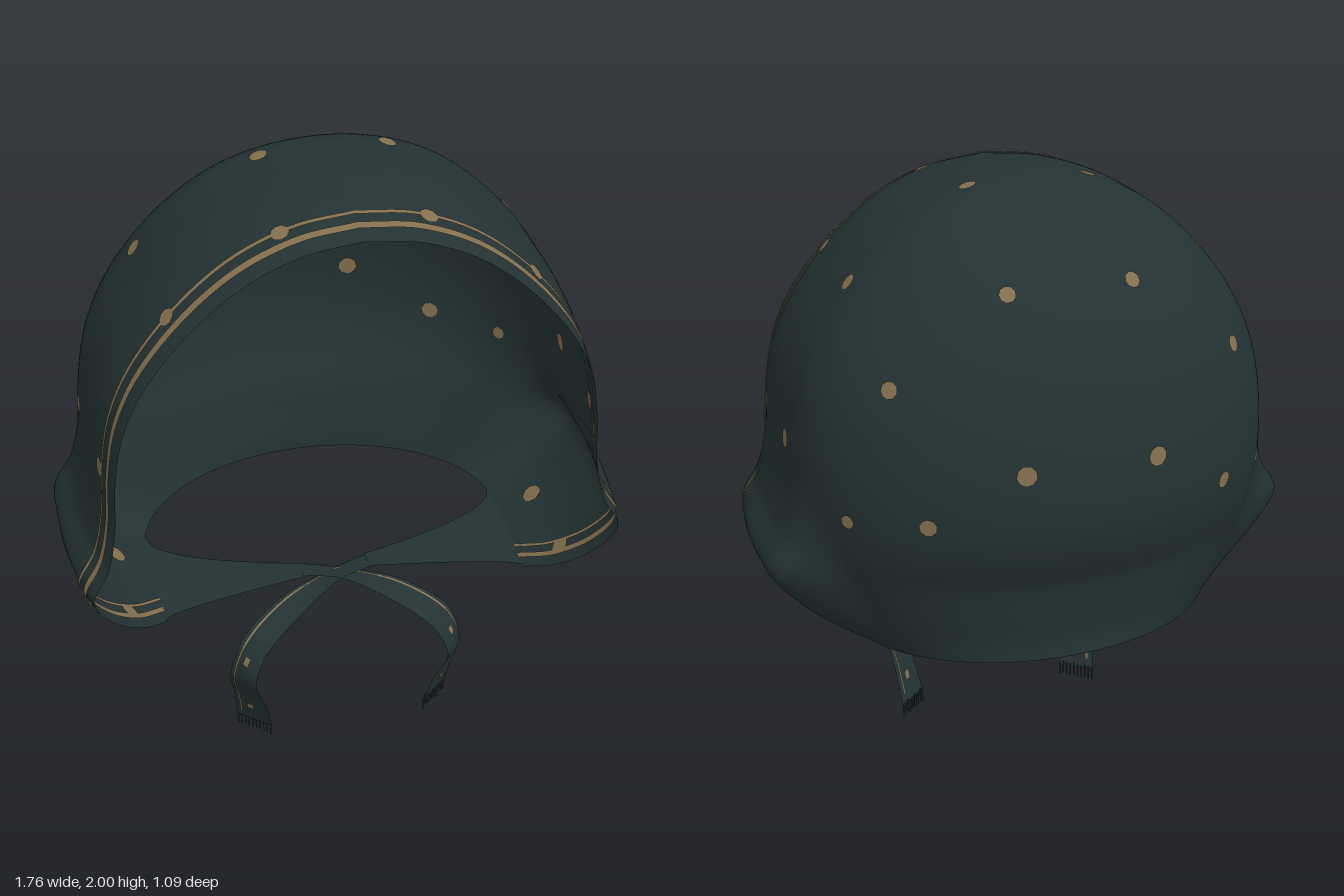
import * as THREE from 'three';
import { mergeVertices } from 'three/addons/utils/BufferGeometryUtils.js';

const V = (x, y, z) => new THREE.Vector3(x, y, z);
const smooth = THREE.MathUtils.smoothstep;

// Smooth grid surface from fn(u, v), u and v in 0..1
function sheet(nu, nv, fn) {
  const pos = [], idx = [];
  for (let j = 0; j <= nv; j++) for (let i = 0; i <= nu; i++) {
    const p = fn(i / nu, j / nv);
    pos.push(p.x, p.y, p.z);
    if (i < nu && j < nv) {
      const a = j * (nu + 1) + i, b = a + nu + 1;
      idx.push(a, a + 1, b, a + 1, b + 1, b);
    }
  }
  let g = new THREE.BufferGeometry();
  g.setAttribute('position', new THREE.Float32BufferAttribute(pos, 3));
  g.setIndex(idx);
  g = mergeVertices(g, 1e-4);
  g.computeVertexNormals();
  return g;
}

// Profile rows: side half-width, height, back depth, half-width behind the flare, front z
const rows = [
  [0.60, 0.57, 0.44, 0.60, 0.36], [0.70, 0.63, 0.44, 0.64, 0.44],
  [0.81, 0.73, 0.455, 0.69, 0.51], [0.88, 0.84, 0.475, 0.74, 0.54],
  [0.82, 0.95, 0.52, 0.765, 0.53], [0.785, 1.08, 0.55, 0.775, 0.515],
  [0.77, 1.25, 0.548, 0.77, 0.51], [0.735, 1.43, 0.515, 0.735, 0.51],
  [0.655, 1.6, 0.45, 0.655, 0.505], [0.52, 1.77, 0.34, 0.52, 0.50],
  [0.36, 1.9, 0.21, 0.36, 0.495], [0.18, 1.975, 0.09, 0.18, 0.49], [0, 2.0, 0, 0, 0.49],
];
const sideCurve = new THREE.CatmullRomCurve3(rows.map(r => V(r[0], r[1], r[2])), false, 'catmullrom', 0.5);
const backCurve = new THREE.CatmullRomCurve3(rows.map(r => V(r[3], r[1], r[4])), false, 'catmullrom', 0.5);

// Fabric point on the side wall at a given depth z in front of the widest section
function wall(p, z, side) {
  const k = Math.max(0, z - 0.12) / 0.38;
  return V(side * p.x * (1 - 0.055 * k * k), p.y - 0.065 * k * k * smooth(p.y, 1.2, 2), z);
}

// u runs from one front edge around the back to the other; v from the hem to the crown
function hoodPoint(u, v) {
  const p = sideCurve.getPoint(v), q = backCurve.getPoint(v);
  const side = u < 0.5 ? 1 : -1, t = 1 - Math.abs(2 * u - 1);
  if (t <= 0.35) return wall(p, q.z * (1 - t / 0.35), side);
  const a = (t - 0.35) / 0.65 * Math.PI / 2;
  const z = -p.z * Math.sin(a);
  const w = THREE.MathUtils.lerp(p.x, q.x, smooth(-z, 0.06, 0.24));
  return V(side * w * Math.cos(a), p.y, z);
}

export function createModel() {
  const group = new THREE.Group();
  const cloth = new THREE.MeshStandardMaterial({ color: 0x243233, side: THREE.DoubleSide });
  cloth.name = 'dark green cloth';
  const tan = new THREE.MeshStandardMaterial({ color: 0x84704f, side: THREE.DoubleSide });
  tan.name = 'tan print';
  const add = (name, geo, mat) => {
    const m = new THREE.Mesh(geo, mat);
    m.name = name;
    group.add(m);
    return m;
  };

  // Hood
  const hoodGeo = sheet(160, 90, hoodPoint);
  add('hood', hoodGeo, cloth);

  // Pair of printed stripes beside the front edge, on both faces of the cloth
  for (const [start, width] of [[0.045, 0.024], [0.1, 0.014]]) {
    for (const scale of [1.006, 0.994]) {
      add('frontStripe', sheet(160, 1, (u, w) => {
        const v = 1 - Math.abs(2 * u - 1), side = u < 0.5 ? 1 : -1;
        const z = backCurve.getPoint(v).z - start - width * w;
        const p = wall(sideCurve.getPoint(v), z, side);
        return V(p.x * scale, 1.1 + (p.y - 1.1) * scale, p.z);
      }), tan);
    }
  }

  // Printed dots, mirrored and laid on both faces
  const dots = [
    [0.2, 1.98, 0, 0.028], [0.58, 1.71, 0, 0.028], [0.765, 1.22, 0.05, 0.031],
    [0.2, 1.74, -0.35, 0.026], [0.55, 1.48, -0.33, 0.027], [0.2, 1.26, -0.53, 0.032],
    [0.47, 1.09, -0.42, 0.028], [0.68, 1.08, -0.27, 0.023], [0.7, 0.64, 0.08, 0.034],
    [0.2, 1.93, 0.385, 0.028], [0.54, 1.7, 0.385, 0.028], [0.745, 1.23, 0.39, 0.03],
    [0.7, 0.66, 0.37, 0.03],
  ];
  const pos = hoodGeo.attributes.position, nor = hoodGeo.attributes.normal;
  const p = V(), n = V();
  for (const [x, y, z, r] of dots) for (const s of [1, -1]) {
    const target = V(x * s, y, z);
    let best = 0, bestD = Infinity;
    for (let i = 0; i < pos.count; i++) {
      const d = p.fromBufferAttribute(pos, i).distanceToSquared(target);
      if (d < bestD) { bestD = d; best = i; }
    }
    p.fromBufferAttribute(pos, best);
    n.fromBufferAttribute(nor, best);
    for (const off of [0.005, -0.005]) {
      const dot = add('printedDot', new THREE.CircleGeometry(r, 9), tan);
      dot.position.copy(p).addScaledVector(n, off);
      dot.quaternion.setFromUnitVectors(V(0, 0, 1), n);
    }
  }

  // Chin flaps tapering to the ties
  for (const s of [1, -1]) {
    add('chinFlap', sheet(24, 6, (u, w) => {
      const front = THREE.MathUtils.lerp(0.36, 0.235, Math.pow(u, 0.6));
      const back = THREE.MathUtils.lerp(-0.08, 0.17, Math.pow(u, 0.45));
      return V(s * THREE.MathUtils.lerp(0.6, 0.1, u), 0.57 - 0.008 * Math.sin(u * Math.PI / 2) + s * 0.002 * u,
        THREE.MathUtils.lerp(front, back, w));
    }), cloth);
  }

  // Crossing ribbon ties: centre line and half-width vectors
  const path = new THREE.CatmullRomCurve3([
    V(0.12, 0.562, 0.2), V(0, 0.55, 0.23), V(-0.18, 0.505, 0.31), V(-0.31, 0.42, 0.375),
    V(-0.355, 0.3, 0.39), V(-0.33, 0.17, 0.36), V(-0.312, 0.04, 0.325)]);
  const half = new THREE.CatmullRomCurve3([
    V(0, 0.003, 0.035), V(0, 0.008, 0.04), V(0.012, -0.015, 0.045), V(0.028, -0.024, 0.03),
    V(0.034, 0, 0.045), V(0.045, 0, 0.042), V(0.05, 0, 0.042)]);
  const tiePoint = (t, w, s, off = 0) => {
    const c = path.getPoint(t), h = half.getPoint(t);
    const normal = path.getTangent(t).cross(h).normalize();
    c.addScaledVector(h, w).addScaledVector(normal, off);
    c.x *= s;
    return c;
  };
  for (const s of [1, -1]) {
    add('ribbonTie', sheet(48, 4, (u, w) => tiePoint(u, 2 * w - 1, s)), cloth);
    for (const off of [0.004, -0.004]) {
      add('ribbonStripe', sheet(48, 1, (u, w) => tiePoint(0.1 + 0.85 * u, -0.72 + 0.13 * w, s, off)), tan);
      for (const t of [0.56, 0.86]) {
        add('ribbonDot', sheet(2, 2, (u, w) => tiePoint(t + 0.04 * u, -0.25 + 0.4 * w, s, off)), tan);
      }
    }
    // Frayed ribbon end
    for (let i = 0; i < 10; i++) {
      const thread = add('fringeThread', new THREE.BoxGeometry(0.004, 0.05, 0.004), cloth);
      thread.position.copy(tiePoint(1, -0.95 + i * 0.21, s));
      thread.position.y = 0.025 + (i % 3) * 0.004;
    }
  }
  return group;
}
